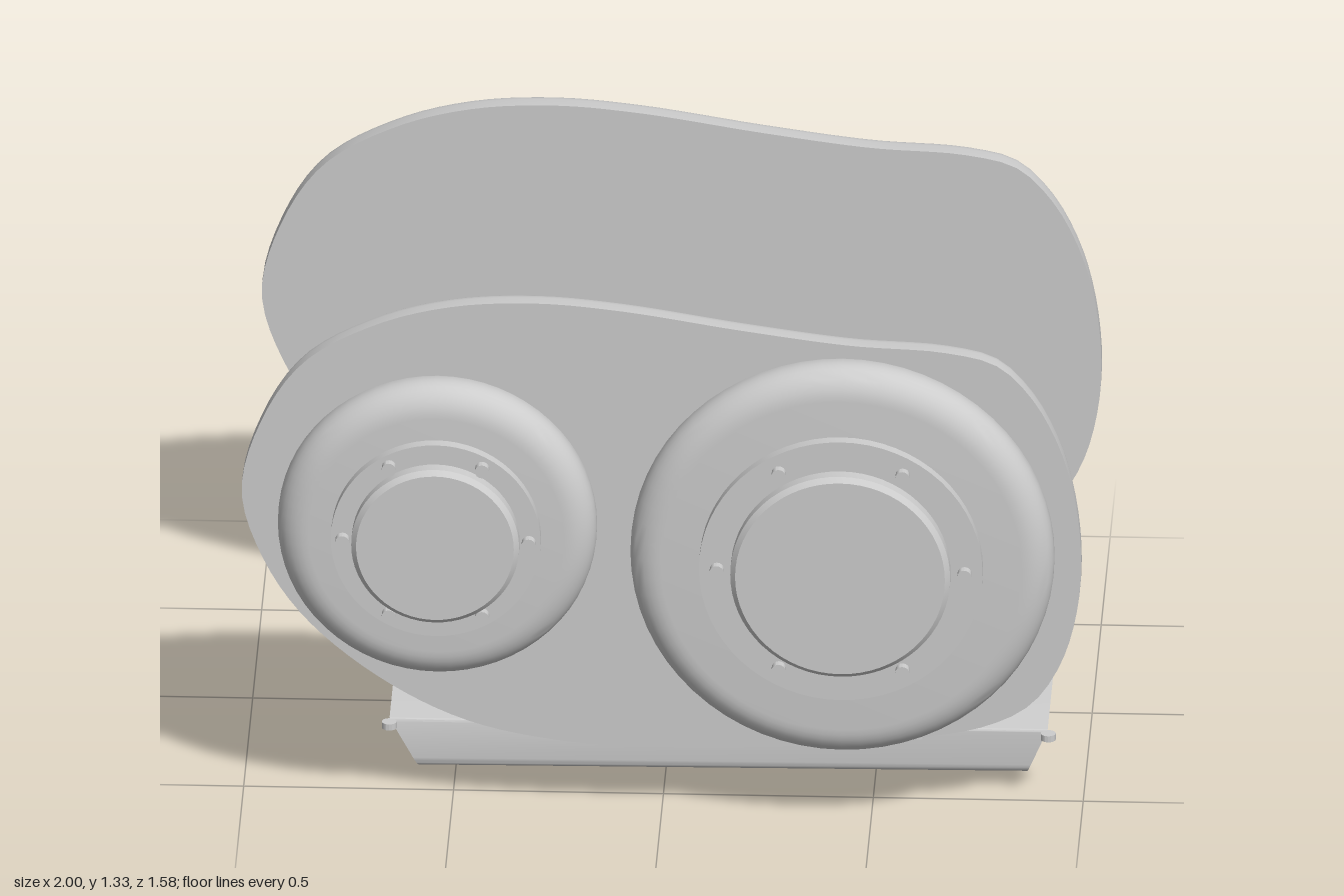
import * as THREE from 'three';
import { toCreasedNormals } from 'three/addons/utils/BufferGeometryUtils.js';

const grey = new THREE.MeshStandardMaterial({ color: 0xcccccc });
grey.name = 'light grey';

function add(parent, name, geometry, x = 0, y = 0, z = 0, crease = 0.6) {
  const mesh = new THREE.Mesh(toCreasedNormals(geometry, crease), grey);
  mesh.name = name;
  mesh.position.set(x, y, z);
  parent.add(mesh);
  return mesh;
}

// Turned part about the z axis: profile of [radius, distance], dir = 1 front, -1 back
function turned(profile, dir, segments = 64) {
  const points = profile.map(([r, d]) => new THREE.Vector2(r, d));
  return new THREE.LatheGeometry(points, segments).rotateX(dir * Math.PI / 2);
}

// Gasket plate outline, clockwise from the left
const OUTLINE = [
  [-1, 0.83], [-0.95, 1.02], [-0.85, 1.17], [-0.68, 1.27], [-0.5, 1.32], [-0.3, 1.333],
  [-0.1, 1.317], [0.2, 1.27], [0.45, 1.237], [0.68, 1.222], [0.8, 1.19], [0.88, 1.11],
  [0.94, 1.0], [0.98, 0.87], [1, 0.7], [0.99, 0.55], [0.95, 0.41], [0.88, 0.305],
  [0.77, 0.245], [0.55, 0.205], [0.3, 0.183], [0, 0.175], [-0.25, 0.19], [-0.47, 0.24],
  [-0.67, 0.345], [-0.85, 0.5], [-0.95, 0.655],
];

// Plate lofted through inset rings, with a rounded edge on its rear side
function plateGeometry(depth) {
  const curve = new THREE.CatmullRomCurve3(
    OUTLINE.map(([x, y]) => new THREE.Vector3(x, y, 0)).reverse(), true);
  const n = 128, cx = 0, cy = 0.75, bevel = 0.05;
  const rings = [{ centre: true, z: 0 }];
  for (let k = 0; k <= 6; k++) {
    const a = k / 6 * Math.PI / 2;
    rings.push({ inset: bevel * (1 - Math.sin(a)), z: bevel * (1 - Math.cos(a)) });
  }
  rings.push({ inset: 0, z: depth }, { centre: true, z: depth });
  const position = [], index = [];
  rings.forEach((ring, j) => {
    for (let i = 0; i < n; i++) {
      const p = curve.getPointAt(i / n), t = curve.getTangentAt(i / n);
      if (ring.centre) position.push(cx, cy, ring.z);
      else position.push(p.x - t.y * ring.inset, p.y + t.x * ring.inset, ring.z);
      if (j === 0) continue;
      const a = (j - 1) * n + i, b = (j - 1) * n + (i + 1) % n;
      if (!rings[j - 1].centre) index.push(a, b, a + n);
      if (!ring.centre) index.push(b, b + n, a + n);
      else if (rings[j - 1].centre) index.push(a, b, b + n);
    }
  });
  const g = new THREE.BufferGeometry();
  g.setAttribute('position', new THREE.Float32BufferAttribute(position, 3));
  g.setIndex(index);
  return g;
}

// Round housing on the front plate with stepped ring, cover disc and six bolts
function frontHousing(parent, side, x, y, r, ringR, discR, boltR) {
  const group = new THREE.Group();
  group.name = side + 'FrontHousing';
  group.position.set(x, y, 0);
  parent.add(group);
  const body = [[r - 0.01, 0.61], [r, 0.635]];
  for (let k = 0; k <= 8; k++) {
    const a = k / 8 * Math.PI / 2;
    body.push([r - 0.075 * (1 - Math.cos(a)), 0.655 + 0.063 * Math.sin(a)]);
  }
  body.push([0, 0.718]);
  add(group, 'housingBody', turned(body, 1));
  add(group, 'steppedRing', turned([[ringR, 0.71], [ringR, 0.747], [0, 0.747]], 1));
  add(group, 'coverDisc', turned(
    [[discR, 0.74], [discR, 0.778], [discR - 0.012, 0.79], [0, 0.79]], 1));
  for (let i = 0; i < 6; i++) {
    const a = i * Math.PI / 3;
    add(group, 'coverBolt', turned([[0.017, 0.74], [0.017, 0.768], [0, 0.768]], 1, 16),
      boltR * Math.cos(a), boltR * Math.sin(a));
  }
}

// Domed cover on the back plate with a round cap
function backDome(parent, side, x, y, profile) {
  const group = new THREE.Group();
  group.name = side + 'BackDome';
  group.position.set(x, y, 0);
  parent.add(group);
  add(group, 'dome', turned([...profile, [0, 0.77]], -1), 0, 0, 0, 0.7);
  add(group, 'domeCap', turned(
    [[0.064, 0.75], [0.064, 0.785], [0.059, 0.79], [0.03, 0.79], [0.028, 0.786], [0, 0.786]], -1, 32));
}

// Oil tray: rounded section extruded along x, then tapered towards the bottom
function trayGeometry() {
  const z0 = -0.427, z1 = 0.445, y0 = 0.035, y1 = 0.16, r = 0.025, t = 0.008;
  const s = new THREE.Shape();
  s.moveTo(-z0 - r, y0);
  s.quadraticCurveTo(-z0, y0, -z0, y0 + r);
  s.lineTo(-z0, y1 - t);
  s.quadraticCurveTo(-z0, y1, -z0 - t, y1);
  s.lineTo(-z1 + t, y1);
  s.quadraticCurveTo(-z1, y1, -z1, y1 - t);
  s.lineTo(-z1, y0 + r);
  s.quadraticCurveTo(-z1, y0, -z1 + r, y0);
  s.closePath();
  const g = new THREE.ExtrudeGeometry(s, { depth: 1, bevelEnabled: false, curveSegments: 6 });
  g.rotateY(Math.PI / 2);
  const p = g.attributes.position;
  for (let i = 0; i < p.count; i++) {
    const u = p.getX(i), down = (y1 - p.getY(i)) / (y1 - y0);
    p.setX(i, THREE.MathUtils.lerp(-0.655 + 0.07 * down, 0.913 - 0.05 * down, u));
    p.setY(i, p.getY(i) + down * THREE.MathUtils.lerp(-0.003, 0.009, u));
  }
  return g;
}

export function createModel() {
  const model = new THREE.Group();
  model.name = 'engineCovers';

  // Front and back cover plates
  add(model, 'frontPlate', plateGeometry(0.084), 0, 0, 0.532);
  add(model, 'backPlate', plateGeometry(0.086), 0, 0, -0.593);

  // Front housings
  frontHousing(model, 'right', -0.532, 0.767, 0.38, 0.25, 0.2, 0.222);
  frontHousing(model, 'left', 0.433, 0.706, 0.505, 0.338, 0.262, 0.295);

  // Back domes
  backDome(model, 'right', -0.532, 0.767, [[0.348, 0.58], [0.347, 0.62], [0.337, 0.646],
    [0.312, 0.673], [0.265, 0.703], [0.21, 0.73], [0.155, 0.75], [0.06, 0.768]]);
  backDome(model, 'left', 0.433, 0.706, [[0.46, 0.58], [0.46, 0.642], [0.405, 0.68],
    [0.345, 0.715], [0.27, 0.743], [0.185, 0.762], [0.06, 0.769]]);

  // Tray with rim bolts and hexagonal drain plug
  const tray = new THREE.Group();
  tray.name = 'oilTray';
  model.add(tray);
  add(tray, 'trayBody', trayGeometry());
  for (const z of [-0.437, 0.455]) {
    for (let i = 0; i < 6; i++) {
      add(tray, 'rimBolt', new THREE.CylinderGeometry(0.018, 0.018, 0.016, 16),
        -0.655 + i * 0.314, 0.148, z);
    }
  }
  const plug = new THREE.CylinderGeometry(0.04, 0.04, 0.045, 6).rotateY(Math.PI / 6 * 3);
  add(tray, 'drainPlug', plug, 0.128, 0.0225, 0.012);
  return model;
}
